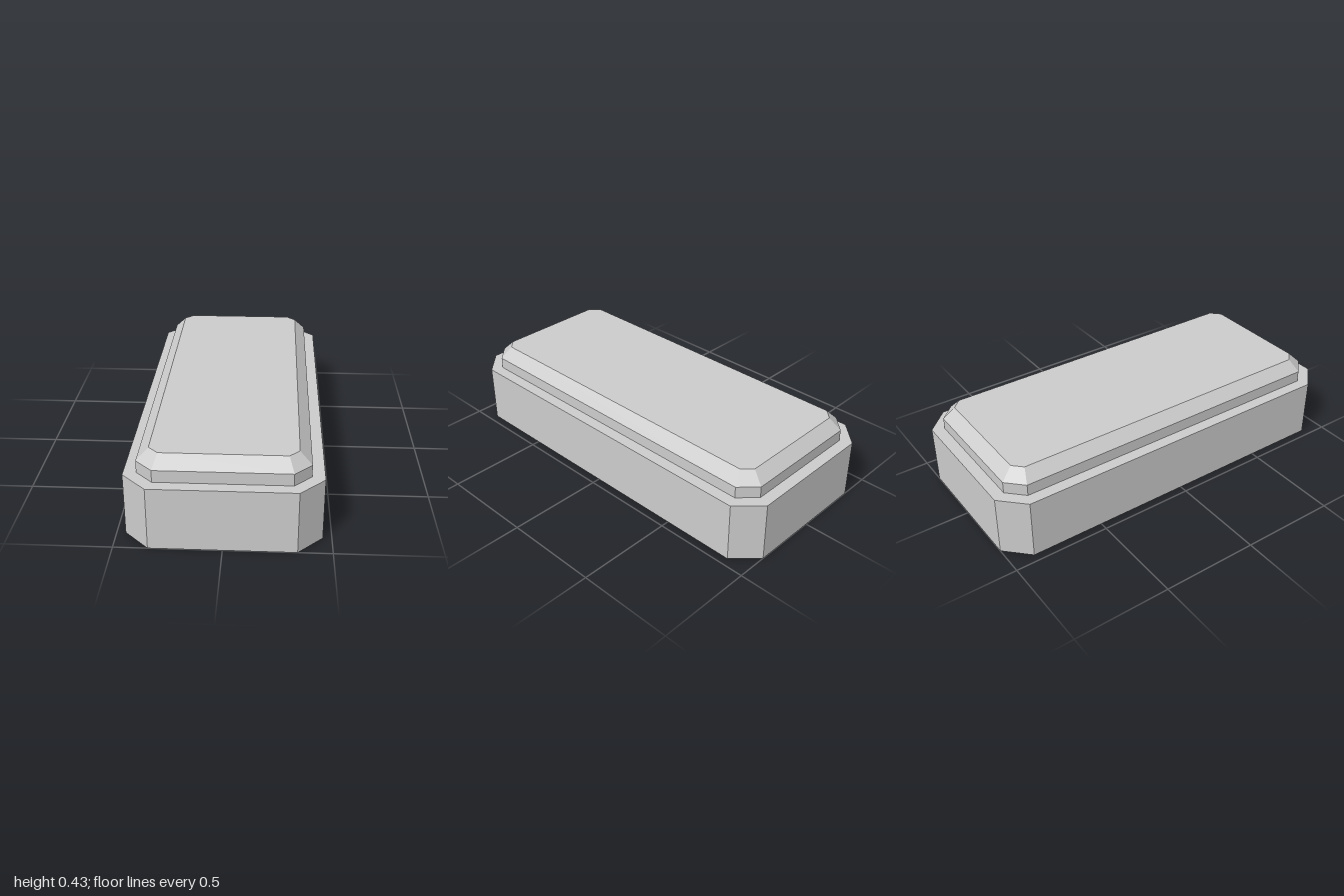
import * as THREE from 'three';

// Rectangle with cut corners at height y: half width w, half depth d, corner cut c
function ring([y, w, d, c]) {
  return [
    [w, -d + c], [w, d - c], [w - c, d], [-w + c, d],
    [-w, d - c], [-w, -d + c], [-w + c, -d], [w - c, -d],
  ].map(([x, z]) => [x, y, z]);
}

// Closed solid lofted through the cross-sections, bottom to top
function loft(sections) {
  const rings = sections.map(ring);
  const bottom = rings[0], top = rings[rings.length - 1];
  const low = [0, sections[0][0], 0];
  const high = [0, sections[sections.length - 1][0], 0];
  const out = [];
  for (let i = 0; i < 8; i++) {
    const j = (i + 1) % 8;
    for (let k = 0; k + 1 < rings.length; k++) {
      const a = rings[k], b = rings[k + 1];
      out.push(...a[i], ...b[i], ...b[j], ...a[i], ...b[j], ...a[j]);
    }
    out.push(...low, ...bottom[i], ...bottom[j]);
    out.push(...high, ...top[j], ...top[i]);
  }
  const geometry = new THREE.BufferGeometry();
  geometry.setAttribute('position', new THREE.Float32BufferAttribute(out, 3));
  geometry.computeVertexNormals();
  return geometry;
}

export function createModel() {
  const model = new THREE.Group();
  model.name = 'steppedBlock';
  const grey = new THREE.MeshStandardMaterial({ color: 0xcccccc });
  grey.name = 'lightGrey';

  const add = (name, sections) => {
    const mesh = new THREE.Mesh(loft(sections), grey);
    mesh.name = name;
    model.add(mesh);
  };

  // Wide base with cut corners
  add('base', [[0, 0.458, 1, 0.118], [0.313, 0.458, 1, 0.118]]);
  // Inset upper step with a bevelled top edge
  add('bevelledTop', [
    [0.313, 0.398, 0.94, 0.082],
    [0.373, 0.398, 0.94, 0.082],
    [0.431, 0.34, 0.881, 0.047],
  ]);
  return model;
}
